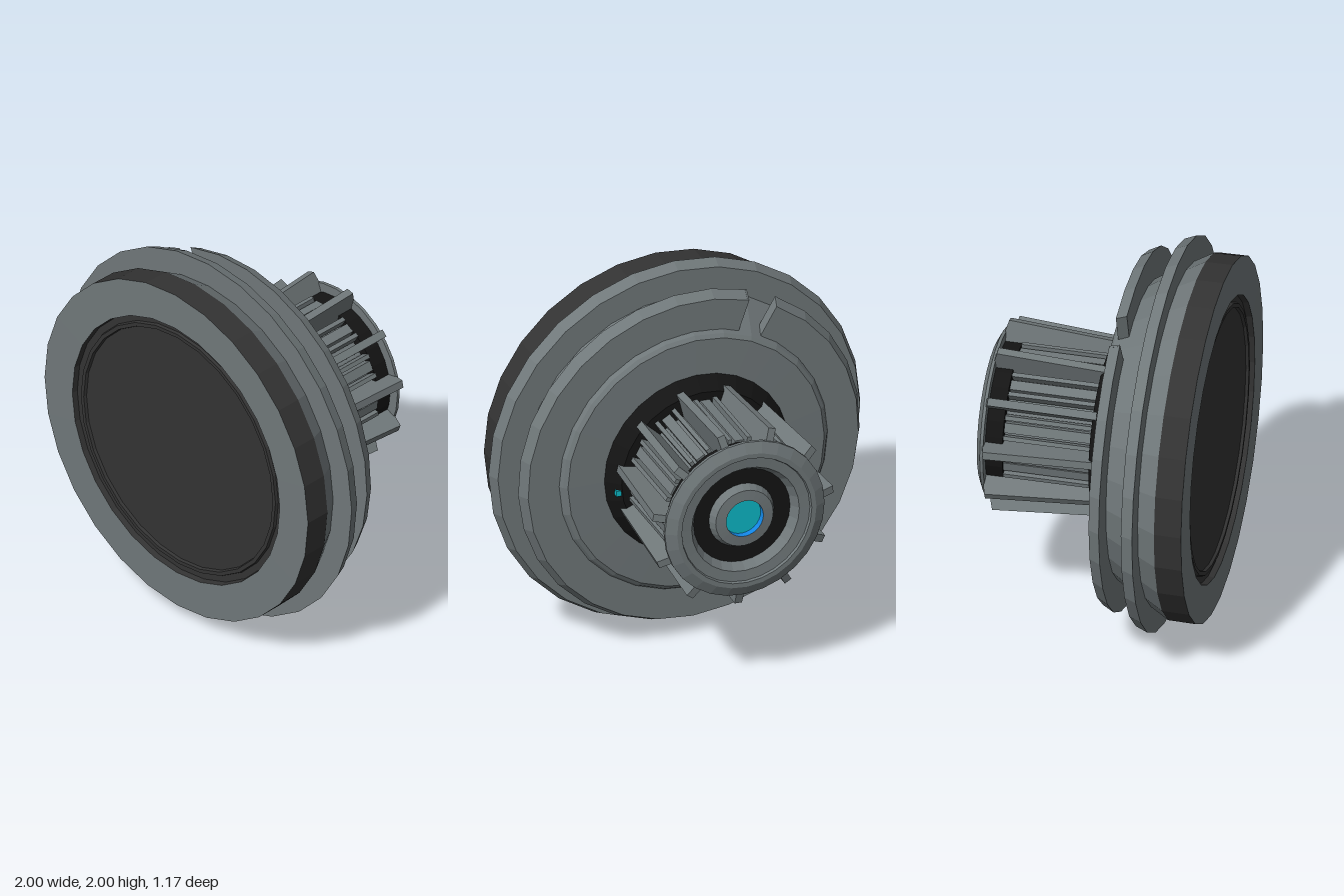
import * as THREE from 'three';

const SEG = 28;
const mat = (name, color, side = THREE.FrontSide) => {
  const m = new THREE.MeshStandardMaterial({ color, flatShading: true, side });
  m.name = name;
  return m;
};

export function createModel() {
  const grey = mat('grey metal', 0x70787a);
  const dark = mat('dark rubber', 0x333333);
  const black = mat('black recess', 0x141414);
  const cyan = mat('cyan lens', 0x0cbac8);
  const blue = mat('blue glow', 0x1590f5);

  const model = new THREE.Group();
  const body = new THREE.Group();
  body.name = 'body';
  body.position.y = 1;
  body.rotation.x = 0.008;
  model.add(body);

  const add = (name, geometry, material) => {
    const mesh = new THREE.Mesh(geometry, material);
    mesh.name = name;
    body.add(mesh);
    return mesh;
  };
  // Turn a (radius, z) profile around the z axis; angles are measured from +x
  const turn = (name, profile, material, start = -Math.PI / 2, sweep = Math.PI * 2) => {
    const pts = profile.map(([r, z]) => new THREE.Vector2(r, z));
    const g = new THREE.LatheGeometry(pts, SEG, start + Math.PI / 2, sweep);
    return add(name, g.rotateX(Math.PI / 2), material);
  };
  // Flat blade with a (radius, z) outline, standing out at an angle
  const blade = (name, outline, thickness, angle, material) => {
    const shape = new THREE.Shape(outline.map(([r, z]) => new THREE.Vector2(r, z)));
    const g = new THREE.ExtrudeGeometry(shape, { depth: thickness, bevelEnabled: false });
    g.translate(0, 0, -thickness / 2).rotateX(Math.PI / 2).rotateZ(angle);
    return add(name, g, material);
  };
  const deg = THREE.MathUtils.degToRad;

  // Dish: sloping back, dark outer band, front rim and recessed front disc
  turn('dishBack', [[0.48, 0.06], [0.69, 0.065], [0.71, 0.08], [0.76, 0.16], [0.835, 0.28],
    [0.87, 0.345], [0.925, 0.44]], grey);
  turn('outerBand', [[0.925, 0.44], [0.927, 0.578]], dark);
  turn('frontRim', [[0.927, 0.578], [0.73, 0.58]], grey);
  turn('frontRecess', [[0.73, 0.58], [0.725, 0.55], [0.69, 0.55], [0.685, 0.565],
    [0.665, 0.565], [0.66, 0.55]], dark);
  turn('frontDisc', [[0.66, 0.55], [0, 0.55]], dark);

  // Flange rings around the dish; the rear one has a gap near the top
  turn('largeFlange', [[0.83, 0.283], [0.975, 0.283], [1.0, 0.345], [0.86, 0.345]], grey);
  const rear = [[0.72, 0.1], [0.89, 0.1], [0.92, 0.158], [0.75, 0.158]];
  turn('rearFlange', rear, grey, deg(120.5), deg(349.5));
  for (const a of [109.7, 120.8]) blade('flangeEnd', rear, 0.01, deg(a), grey);

  // Dark collar and core of the cooling section
  turn('collar', [[0.33, -0.005], [0.43, -0.005], [0.5, 0.064]], black);
  turn('core', [[0.33, -0.46], [0.33, 0.03]], grey);
  turn('neckBand', [[0.38, -0.545], [0.38, -0.455], [0.32, -0.455]], black);

  // Cooling fins with slim slats in the bays between them
  const FINS = 11;
  const fin = [[0.32, 0.04], [0.45, 0.04], [0.49, -0.53], [0.42, -0.55], [0.36, -0.55], [0.32, -0.45]];
  for (let i = 0; i < FINS; i++) {
    const a = deg(76.5) + (i * 2 * Math.PI) / FINS;
    blade('fin', fin, 0.04, a, grey);
    const mid = a + Math.PI / FINS;
    for (const [offset, width, r] of [[-0.052, 0.022, 0.37], [0, 0.05, 0.36], [0.052, 0.022, 0.37]]) {
      const g = new THREE.BoxGeometry(0.05, width, 0.48);
      add('slat', g.translate(r, offset, -0.21).rotateZ(mid), grey);
    }
  }

  // Rear end cap with stepped recess and lens
  turn('endCap', [[0.26, -0.52], [0.29, -0.568], [0.345, -0.572], [0.35, -0.585], [0.375, -0.585],
    [0.43, -0.558], [0.43, -0.542], [0.36, -0.542]], grey);
  turn('capRecess', [[0.16, -0.515], [0.27, -0.515]], black);
  turn('lensRing', [[0.1, -0.56], [0.155, -0.555], [0.175, -0.515]], grey);
  turn('lensWall', [[0.1, -0.525], [0.1, -0.56]], blue);
  turn('lens', [[0, -0.525], [0.1, -0.525]], cyan);

  // Small indicator light beside the collar
  const light = add('indicatorLight', new THREE.BoxGeometry(0.03, 0.03, 0.03), cyan);
  light.position.set(0.44, -0.05, 0.015);

  return model;
}
